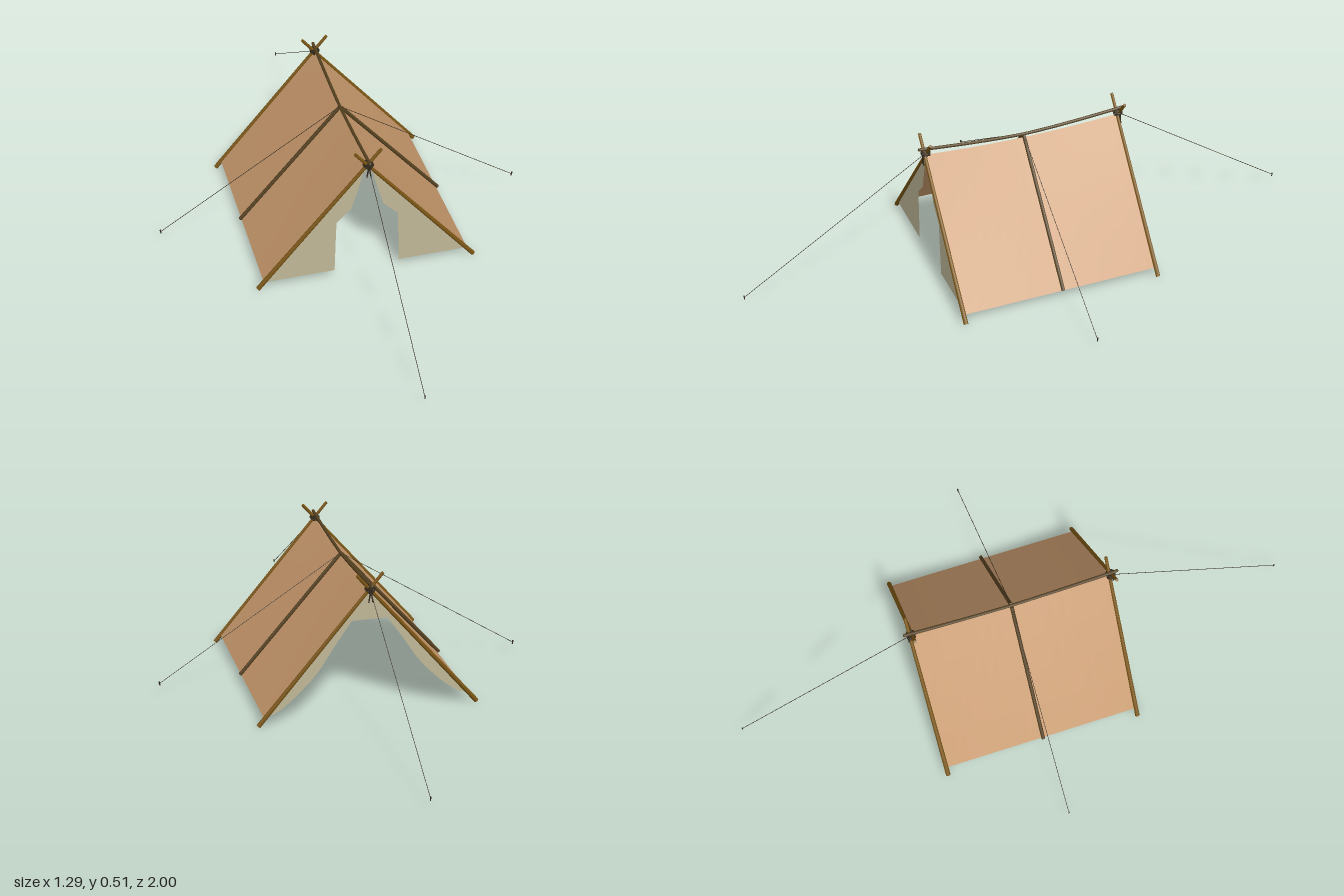
import * as THREE from 'three';

const V = (x, y, z) => new THREE.Vector3(x, y, z);
const mat = (name, color, side = THREE.FrontSide) => {
  const m = new THREE.MeshStandardMaterial({ color, side });
  m.name = name;
  return m;
};

export function createModel() {
  const tent = new THREE.Group();
  tent.name = 'tent';
  const canvas = mat('tan canvas', 0xc4966a, THREE.DoubleSide);
  const linen = mat('pale linen', 0xbfb797, THREE.DoubleSide);
  const wood = mat('pole wood', 0x7a5514);
  const darkWood = mat('dark wood', 0x54401f);
  const cord = mat('dark cord', 0x33291c);

  const add = (name, geometry, material) => {
    const mesh = new THREE.Mesh(geometry, material);
    mesh.name = name;
    tent.add(mesh);
    return mesh;
  };
  // Straight round rod between two points
  const rod = (name, a, b, r0, r1, material, sides = 8) => {
    const dir = b.clone().sub(a);
    const mesh = add(name, new THREE.CylinderGeometry(r1, r0, dir.length(), sides), material);
    mesh.position.copy(a).add(b).multiplyScalar(0.5);
    mesh.quaternion.setFromUnitVectors(V(0, 1, 0), dir.normalize());
    return mesh;
  };

  const midZ = -0.005, half = 0.35;
  const ridgeY = (t) => 0.431 + 0.014 * t * t;

  for (const s of [1, -1]) {
    // Roof panel, sagging along the ridge
    const roof = new THREE.PlaneGeometry(1, 1, 16, 4);
    const p = roof.attributes.position;
    for (let i = 0; i < p.count; i++) {
      const t = p.getX(i) * 2, v = p.getY(i) + 0.5;
      p.setXYZ(i, s * 0.355 * (1 - v), 0.03 + (ridgeY(t) - 0.03) * v, midZ + s * -t * half);
    }
    roof.computeVertexNormals();
    add('roofPanel', roof, canvas);

    // Batten laid over the middle of the panel
    rod('middleBatten', V(s * 0.360, 0.033, midZ), V(s * 0.004, 0.440, midZ), 0.0065, 0.0065, darkWood);

    // Side guy rope and peg
    rod('sideRope', V(0, 0.445, midZ), V(s * 0.64, 0.035, midZ), 0.001, 0.001, cord, 5);
    rod('sidePeg', V(s * 0.639, 0.028, midZ), V(s * 0.641, 0.042, midZ), 0.002, 0.003, cord, 6);
  }

  // Door flaps: half outlines, mirrored
  const frontFlap = [[0, 0.44], [0.018, 0.41], [0.035, 0.345], [0.055, 0.28], [0.105, 0.23],
    [0.108, 0.15], [0.112, 0.03], [0.354, 0.03]];
  const backFlap = [[0, 0.44], [0.022, 0.4], [0.07, 0.33], [0.112, 0.27], [0.163, 0.19],
    [0.195, 0.15], [0.25, 0.095], [0.3, 0.055], [0.354, 0.03]];

  for (const e of [1, -1]) {
    const z = midZ + e * half;
    for (const s of [1, -1]) {
      const outline = (e > 0 ? frontFlap : backFlap).map(([x, y]) => new THREE.Vector2(s * x, y));
      const flap = add(e > 0 ? 'frontFlap' : 'backFlap',
        new THREE.ShapeGeometry(new THREE.Shape(outline)), linen);
      flap.position.z = z - e * 0.003;

      // Crossed end poles, one just in front of the other
      const pz = z + s * 0.004;
      rod('endPole', V(s * 0.375, 0.006, pz), V(s * -0.045, 0.503, pz), 0.008, 0.0055, wood);

      // Cord wrapped around the crossing
      for (let k = -1; k <= 1; k++) {
        const wrap = add('lashing', new THREE.TorusGeometry(0.012, 0.0032, 6, 14), cord);
        wrap.position.set(s * k * 0.006, 0.452 - k * 0.007, z);
        wrap.quaternion.setFromUnitVectors(V(0, 0, 1), V(s * 0.65, -0.76, 0).normalize());
      }
    }
    // Loose cord ends below the crossing
    for (const s of [1, -1]) {
      rod('cordEnd', V(0, 0.45, z + e * 0.01), V(s * 0.007, 0.408, z + e * 0.01), 0.003, 0.002, cord, 6);
    }
    // End guy rope and peg
    rod('endRope', V(0, 0.45, z), V(0, 0.035, e * 0.998), 0.001, 0.001, cord, 5);
    rod('endPeg', V(0, 0.028, e * 0.997), V(0, 0.042, e * 0.998), 0.002, 0.002, cord, 6);
  }

  // Sagging ridge pole
  const points = [-1.06, -0.6, -0.25, 0, 0.25, 0.6, 1.06].map(
    (t) => V(0, 0.444 + 0.022 * Math.pow(Math.abs(t), 1.5), midZ + t * half));
  const curve = new THREE.CatmullRomCurve3(points);
  add('ridgePole', new THREE.TubeGeometry(curve, 32, 0.0055, 8), darkWood);
  const ends = [points[0], points[points.length - 1]];
  for (const q of ends) {
    const cap = add('ridgeEnd', new THREE.SphereGeometry(0.0056, 8, 6), darkWood);
    cap.position.copy(q);
  }

  return tent;
}
